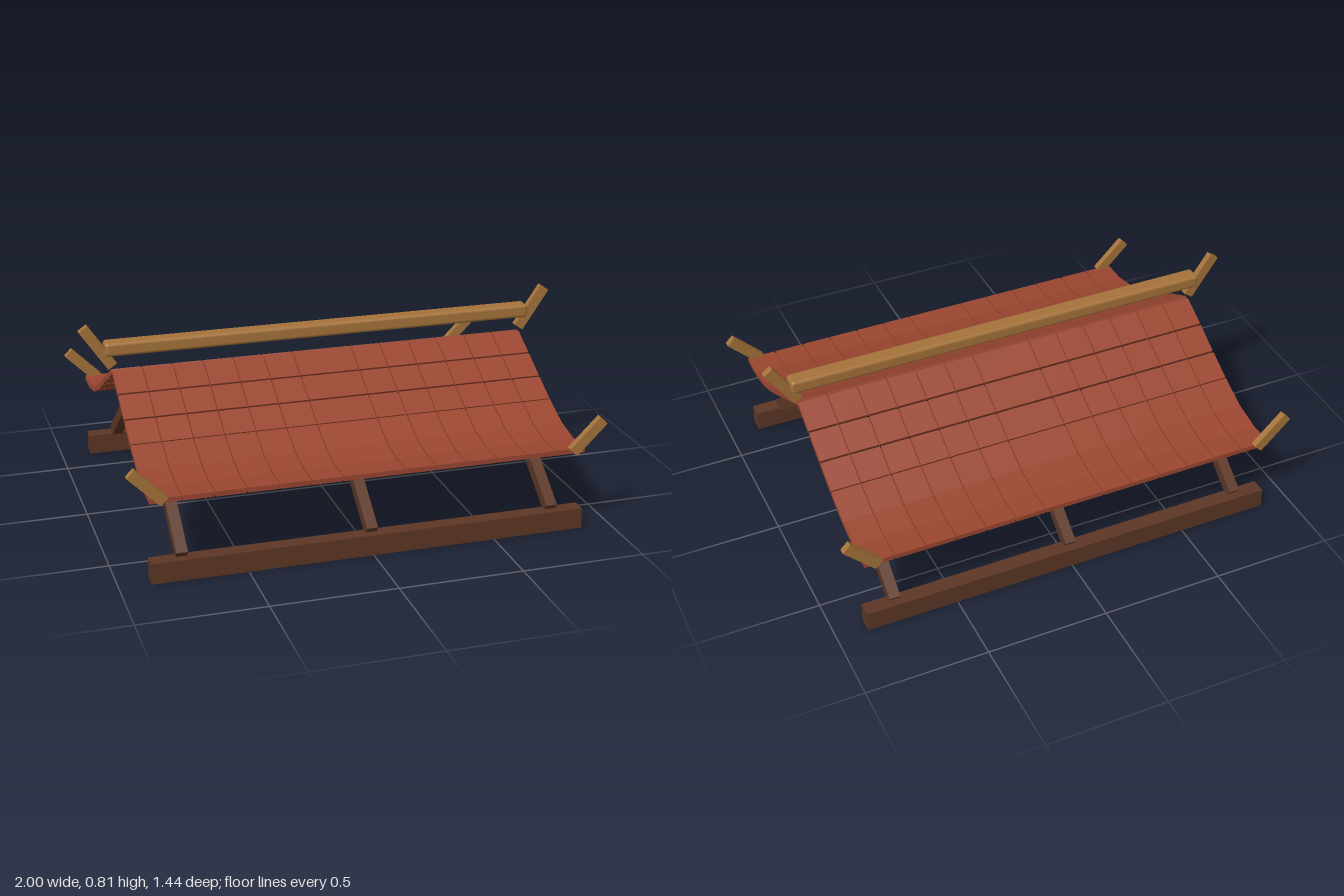
import * as THREE from 'three';
import { RoundedBoxGeometry } from 'three/addons/geometries/RoundedBoxGeometry.js';

const wood = new THREE.MeshStandardMaterial({ color: 0x5c3624 });
wood.name = 'darkWood';
const tile = new THREE.MeshStandardMaterial({ color: 0x9a4630 });
tile.name = 'redTile';
const gold = new THREE.MeshStandardMaterial({ color: 0xa5733a });
gold.name = 'goldenWood';

export function createModel() {
  const model = new THREE.Group();
  model.name = 'curvedRoof';

  const add = (name, geometry, material, x, y, z) => {
    const mesh = new THREE.Mesh(geometry, material);
    mesh.name = name;
    mesh.position.set(x, y, z);
    model.add(mesh);
    return mesh;
  };
  const box = (name, w, h, d, material, x, y, z) =>
    add(name, new THREE.BoxGeometry(w, h, d), material, x, y, z);

  // A box whose length runs between two points (z, y) of the side profile
  const strut = (name, w, h, a, b, trim, material, x, side) => {
    const dz = b[0] - a[0], dy = b[1] - a[1];
    const mesh = box(name, w, h, Math.hypot(dz, dy) - trim, material,
      x, (a[1] + b[1]) / 2, side * (a[0] + b[0]) / 2);
    mesh.rotation.x = -side * Math.atan2(dy, dz);
    return mesh;
  };

  // Sagging roof profile from ridge to eave
  const profile = [[0, 0.606], [0.12, 0.543], [0.237, 0.479], [0.352, 0.418],
    [0.475, 0.363], [0.592, 0.337], [0.705, 0.337]];
  // Column edges, with one wide column in the middle
  const edges = [];
  for (let i = -7; i <= 7; i++) if (i !== 0) edges.push(i * 0.125);

  for (const side of [1, -1]) {
    // Roof tiles
    for (let r = 0; r < profile.length - 1; r++) {
      for (let c = 0; c < edges.length - 1; c++) {
        strut('roofTile', edges[c + 1] - edges[c] - 0.005, 0.02,
          profile[r], profile[r + 1], r < 3 ? 0.008 : 0.002,
          tile, (edges[c] + edges[c + 1]) / 2, side);
      }
    }
    // Rafters and the beam they rest on
    for (const x of [-0.752, 0, 0.752]) {
      strut('rafter', 0.045, 0.046, [0, 0.576], [0.67, 0.087], 0, wood, x, side);
    }
    box('eaveBeam', 1.75, 0.084, 0.063, wood, 0, 0.042, side * 0.673);
    // Raised finials at the eave corners
    for (const end of [1, -1]) {
      const finial = box('cornerFinial', 0.175, 0.043, 0.027, gold,
        end * 0.881, 0.398, side * 0.705);
      finial.rotation.z = end * Math.PI / 4;
    }
  }

  // Ridge pole with slanted end finials
  add('ridgePole', new RoundedBoxGeometry(1.8, 0.056, 0.07, 3, 0.013), gold, 0, 0.705, 0);
  for (const end of [1, -1]) {
    const finial = box('ridgeFinial', 0.2, 0.043, 0.027, gold, end * 0.926, 0.713, 0);
    finial.rotation.z = end * Math.atan2(0.83, 0.56);
  }
  return model;
}
